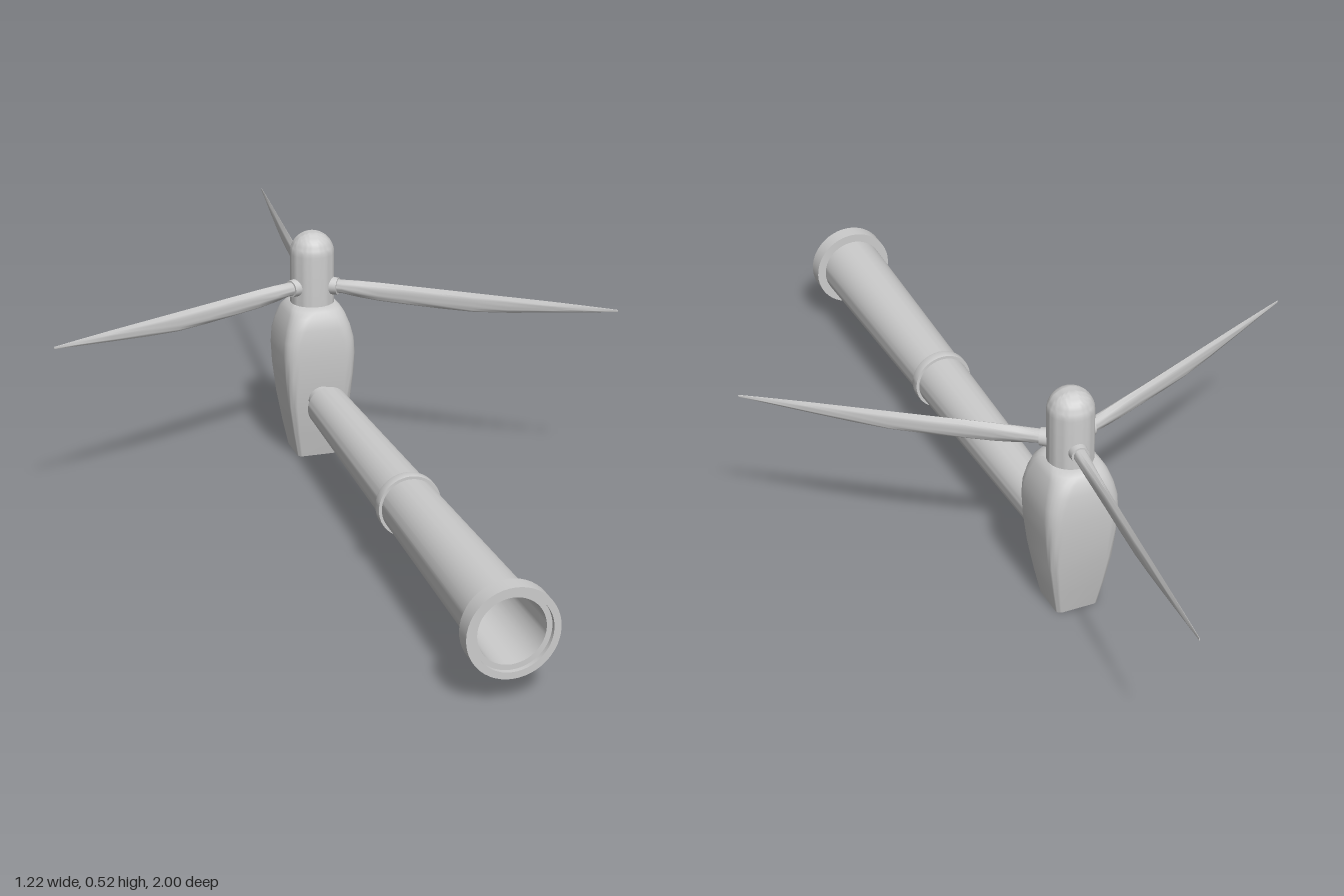
import * as THREE from 'three';
import { toCreasedNormals } from 'three/addons/utils/BufferGeometryUtils.js';

const grey = new THREE.MeshStandardMaterial({ color: 0xcccccc });

function part(name, geometry, parent) {
  const mesh = new THREE.Mesh(geometry, grey);
  mesh.name = name;
  parent.add(mesh);
  return mesh;
}

// Skin a list of rings (arrays of Vector3, counter-clockwise about +z) and cap both ends.
function loft(rings, crease) {
  const n = rings[0].length, pos = [], index = [];
  rings.forEach(ring => ring.forEach(p => pos.push(p.x, p.y, p.z)));
  for (let i = 0; i < rings.length - 1; i++) {
    for (let j = 0; j < n; j++) {
      const a = i * n + j, b = i * n + (j + 1) % n;
      index.push(a, b, b + n, a, b + n, a + n);
    }
  }
  const last = (rings.length - 1) * n;
  for (let j = 1; j < n - 1; j++) {
    index.push(0, j + 1, j, last, last + j, last + j + 1);
  }
  const geometry = new THREE.BufferGeometry();
  geometry.setAttribute('position', new THREE.Float32BufferAttribute(pos, 3));
  geometry.setIndex(index);
  return toCreasedNormals(geometry, crease);
}

// Rectangle with rounded corners at height z
function roundedRing(hx, hy, r, z, steps = 6) {
  const ring = [];
  for (let c = 0; c < 4; c++) {
    const sx = c === 0 || c === 3 ? 1 : -1, sy = c < 2 ? 1 : -1;
    for (let k = 0; k <= steps; k++) {
      const a = (c + k / steps) * Math.PI / 2;
      ring.push(new THREE.Vector3(
        sx * (hx - r) + r * Math.cos(a), sy * (hy - r) + r * Math.sin(a), z));
    }
  }
  return ring;
}

function ellipseRing(hx, hy, cy, z, n = 20) {
  return Array.from({ length: n }, (_, k) => {
    const a = k / n * Math.PI * 2;
    return new THREE.Vector3(hx * Math.cos(a), cy + hy * Math.sin(a), z);
  });
}

function lathe(points, segments = 48) {
  const profile = points.map(([r, y]) => new THREE.Vector2(r, y));
  return toCreasedNormals(new THREE.LatheGeometry(profile, segments), 0.6);
}

export function createModel() {
  const model = new THREE.Group();
  model.name = 'windTurbine';

  const rotor = new THREE.Group();
  rotor.name = 'rotor';
  rotor.position.z = -0.295;
  model.add(rotor);

  const body = new THREE.Group();
  body.name = 'body';
  body.position.z = -0.295;
  body.rotation.y = 0.106;
  model.add(body);

  // Nacelle: half width, half depth, corner radius, height
  const sections = [
    [0.048, 0.048, 0.012, 0], [0.06, 0.06, 0.016, 0.06], [0.072, 0.072, 0.021, 0.13],
    [0.08, 0.08, 0.026, 0.2], [0.083, 0.083, 0.03, 0.25], [0.081, 0.083, 0.032, 0.285],
    [0.074, 0.081, 0.036, 0.315], [0.064, 0.076, 0.04, 0.342], [0.057, 0.068, 0.045, 0.354],
    [0.05, 0.056, 0.047, 0.36],
  ];
  const nacelle = loft(sections.map(s => roundedRing(...s)), 0.6);
  nacelle.rotateX(-Math.PI / 2);
  part('nacelle', nacelle, body);

  // Hub with a domed nose
  const hub = [[0, 0.35], [0.05, 0.35], [0.05, 0.475]];
  for (let k = 1; k <= 10; k++) {
    const a = k / 10 * Math.PI / 2;
    hub.push([k === 10 ? 0 : 0.05 * Math.cos(a), 0.475 + 0.05 * Math.sin(a)]);
  }
  part('hub', lathe(hub), rotor);

  // Blades: distance from hub axis, lower edge, upper edge, half thickness
  const stations = [
    [0.035, 0.386, 0.416, 0.015], [0.075, 0.386, 0.417, 0.014], [0.11, 0.381, 0.419, 0.012],
    [0.16, 0.377, 0.42, 0.009], [0.22, 0.376, 0.42, 0.007], [0.3, 0.375, 0.42, 0.006],
    [0.38, 0.376, 0.42, 0.005], [0.46, 0.383, 0.42, 0.004], [0.56, 0.395, 0.42, 0.003],
    [0.65, 0.406, 0.419, 0.002], [0.705, 0.413, 0.418, 0.001],
  ];
  const bladeShape = loft(stations.map(([r, low, high, t]) =>
    ellipseRing(t, (high - low) / 2, (high + low) / 2, r)), 0.9);
  const collarShape = new THREE.CylinderGeometry(0.019, 0.021, 0.025, 24);
  collarShape.rotateX(Math.PI / 2).translate(0, 0.401, 0.05);
  [Math.PI, Math.PI / 3, -Math.PI / 3].forEach(angle => {
    const arm = new THREE.Group();
    arm.name = 'bladeArm';
    arm.rotation.y = angle;
    rotor.add(arm);
    part('blade', bladeShape, arm);
    part('bladeCollar', collarShape, arm);
  });

  // Tower lying along the body's +z, hollow and open at its foot
  const tower = new THREE.Group();
  tower.name = 'tower';
  tower.position.y = 0.148;
  tower.rotation.x = Math.PI / 2;
  body.add(tower);

  part('towerNeck', new THREE.CylinderGeometry(0.031, 0.031, 0.09, 32), tower).position.y = 0.09;
  part('towerTube', lathe([
    [0, 0.126], [0.048, 0.126], [0.073, 1.256],
    [0.093, 1.256], [0.093, 1.294], [0.079, 1.294], [0.079, 1.284],
    [0.068, 1.284], [0.043, 0.14], [0, 0.14],
  ]), tower);
  part('towerJoint', lathe([
    [0.055, 0.678], [0.067, 0.678], [0.068, 0.682], [0.068, 0.698], [0.067, 0.702], [0.055, 0.702],
    [0.055, 0.678],
  ].map(([r, y]) => [r + 0.004 * (r < 0.06 ? 1 : 0), y])), tower);

  return model;
}
